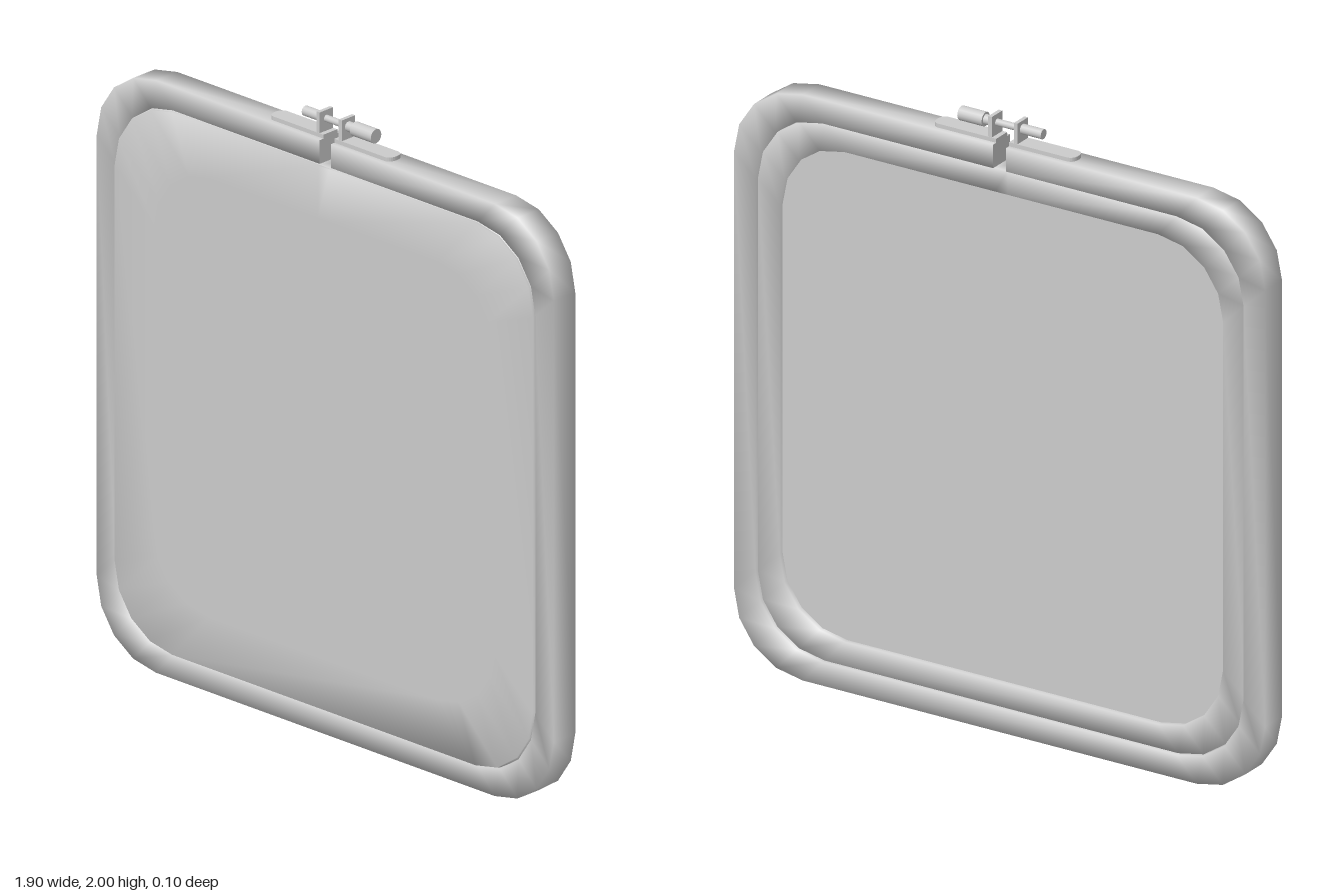
import * as THREE from 'three';

const W = 0.95, H = 0.96, GAP = 0.023;
const material = new THREE.MeshStandardMaterial({ color: 0xcccccc });

// Rounded-square outline inset by d, clockwise from the right of the top gap to its left
function outline(d) {
  const w = W - d, h = H - d, r = Math.min(0.245 - 0.08 * d, w, h);
  const g = Math.min(GAP, w), pts = [[g, H + h]];
  [[1, 1], [1, -1], [-1, -1], [-1, 1]].forEach(([sx, sy], q) => {
    for (let k = 0; k <= 4; k++) {
      const a = Math.PI / 2 - (q + k / 4) * Math.PI / 2;
      pts.push([sx * (w - r) + r * Math.cos(a), H + sy * (h - r) + r * Math.sin(a)]);
    }
  });
  pts.push([-g, H + h]);
  return pts;
}

// Sweep a section of [inset, z] points round the outline
function sweep(section, { closedPath = true, closedSection = true } = {}) {
  const rings = section.map(([d, z]) => outline(d).map(([x, y]) => [x, y, z]));
  const n = rings[0].length, m = section.length;
  const pos = rings.flat(2), index = [];
  for (let j = 0; j < (closedSection ? m : m - 1); j++) {
    for (let i = 0; i < (closedPath ? n : n - 1); i++) {
      const i2 = (i + 1) % n, j2 = (j + 1) % m;
      const a = j * n + i, b = j * n + i2, c = j2 * n + i, e = j2 * n + i2;
      index.push(a, c, b, b, c, e);
    }
  }
  // flat caps on the two cut ends
  if (!closedPath) {
    for (const end of [0, n - 1]) {
      const base = pos.length / 3;
      rings.forEach(ring => pos.push(...ring[end]));
      for (let j = 1; j < m - 1; j++) {
        if (end) index.push(base, base + j, base + j + 1);
        else index.push(base, base + j + 1, base + j);
      }
    }
  }
  const geo = new THREE.BufferGeometry();
  geo.setAttribute('position', new THREE.Float32BufferAttribute(pos, 3));
  geo.setIndex(index);
  geo.computeVertexNormals();
  return geo;
}

// Square-edged band, softly shaded
const band = (d0, d1, z0, z1) => [[d0, z0], [d0, z1], [d1, z1], [d1, z0]];

export function createModel() {
  const model = new THREE.Group();
  const add = (name, geo, x = 0, y = 0, z = 0) => {
    const mesh = new THREE.Mesh(geo, material);
    mesh.name = name;
    mesh.position.set(x, y, z);
    model.add(mesh);
  };

  // Split outer hoop and continuous inner hoop
  add('outerHoop', sweep(band(0, 0.077, -0.05, 0.043), { closedPath: false }));
  add('innerHoop', sweep(band(0.079, 0.157, -0.04, 0.042)));

  // Cloth pad stretched through the inner hoop: shallow recess behind, proud in front
  const cloth = [[W, -0.024], [0.15, -0.024], [0.081, -0.024], [0.081, 0.05], [0.25, 0.05], [W, 0.05]];
  add('cloth', sweep(cloth, { closedSection: false }));

  // Clamp plates and upright lugs either side of the gap
  const zc = -0.003;
  for (const s of [1, -1]) {
    const side = s > 0 ? 'left' : 'right';
    const plate = new THREE.Shape();
    plate.moveTo(0, -0.03);
    plate.lineTo(0.21, -0.03);
    plate.quadraticCurveTo(0.23, -0.026, 0.23, 0);
    plate.quadraticCurveTo(0.23, 0.026, 0.21, 0.03);
    plate.lineTo(0, 0.03);
    const plateGeo = new THREE.ExtrudeGeometry(plate, { depth: 0.018, bevelEnabled: false, curveSegments: 6 });
    plateGeo.rotateX(-Math.PI / 2);
    if (s < 0) plateGeo.rotateY(Math.PI);
    add(side + 'ClampPlate', plateGeo, s * GAP, 1.915, zc);
    add(side + 'Lug', new THREE.BoxGeometry(0.013, 0.08, 0.058), s * 0.046, 1.96, zc);
  }

  // Tightening screw along x
  const rod = (name, x0, x1, r) => {
    const geo = new THREE.CylinderGeometry(r, r, x1 - x0, 16).rotateZ(Math.PI / 2);
    add(name, geo, (x0 + x1) / 2, 1.973, zc);
  };
  rod('screwShaft', -0.1, 0.12, 0.011);
  rod('screwNut', -0.127, -0.052, 0.016);
  rod('screwCollar', 0.052, 0.08, 0.016);
  rod('screwKnob', 0.08, 0.167, 0.023);

  return model;
}
